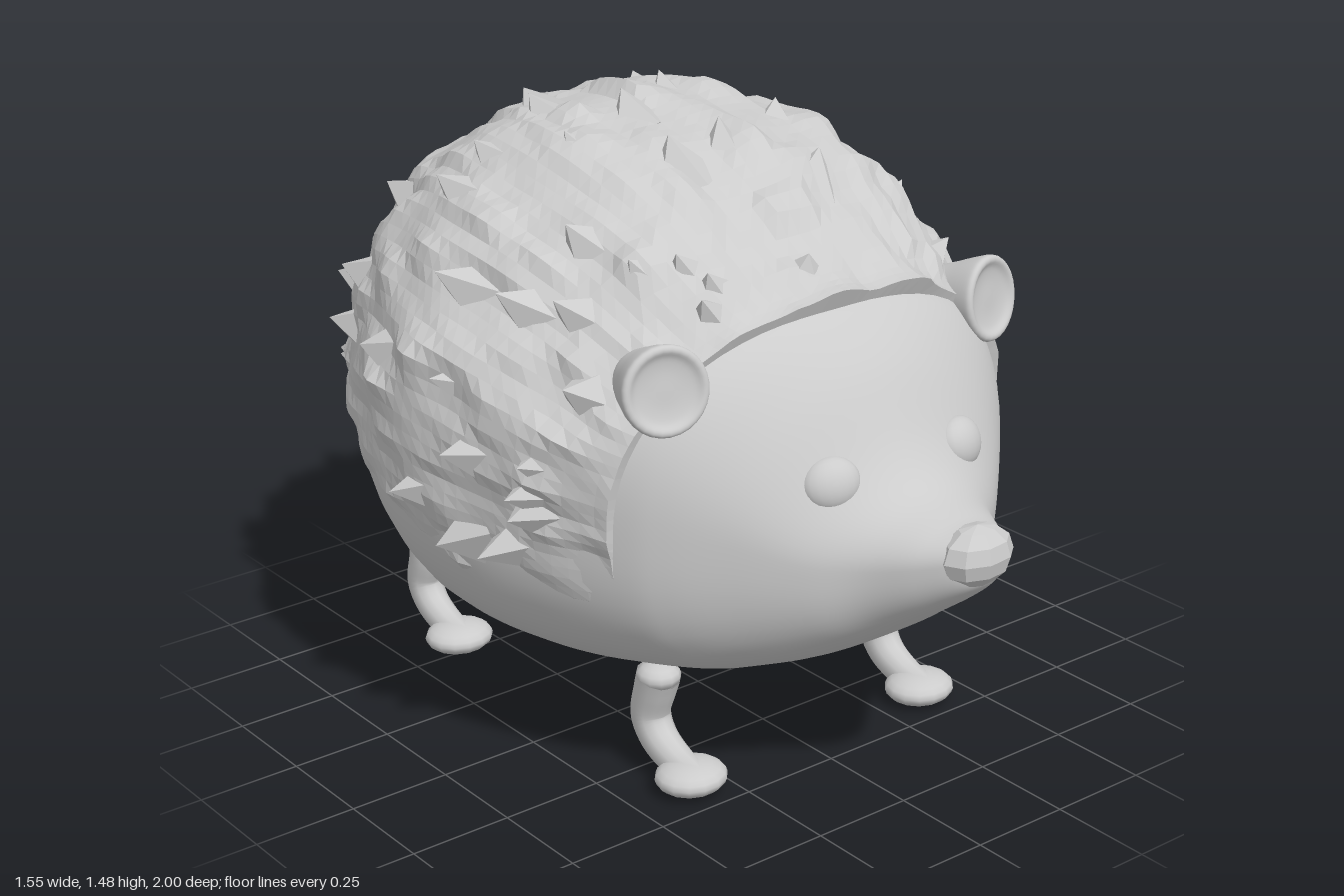
import * as THREE from 'three';
import { mergeGeometries } from 'three/addons/utils/BufferGeometryUtils.js';

const smooth = new THREE.MeshStandardMaterial({ color: 0xcccccc, side: THREE.DoubleSide });
const faceted = new THREE.MeshStandardMaterial({ color: 0xcccccc, side: THREE.DoubleSide, flatShading: true });

// Body stations from nose to rump: z, bottom, top, half width, height of widest point, roundness of the upper half
const STATIONS = [
  [0.97, 0.64, 0.70, 0.01, 0.68, 2], [0.95, 0.605, 0.735, 0.07, 0.68, 2], [0.88, 0.545, 0.745, 0.13, 0.66, 2],
  [0.78, 0.47, 0.78, 0.20, 0.64, 1.9], [0.70, 0.41, 0.855, 0.29, 0.65, 1.8], [0.60, 0.345, 1.01, 0.40, 0.69, 2],
  [0.50, 0.30, 1.105, 0.50, 0.70, 2.4], [0.41, 0.27, 1.15, 0.56, 0.70, 2.5], [0.20, 0.225, 1.30, 0.65, 0.72, 2.3],
  [0, 0.205, 1.39, 0.71, 0.75, 2.1], [-0.2, 0.205, 1.42, 0.72, 0.77, 2.1], [-0.4, 0.235, 1.41, 0.67, 0.77, 2.1],
  [-0.6, 0.28, 1.33, 0.58, 0.77, 2.1], [-0.75, 0.33, 1.21, 0.47, 0.77, 2.1], [-0.88, 0.42, 1.06, 0.34, 0.76, 2.1],
  [-0.955, 0.54, 0.95, 0.2, 0.75, 2.1], [-0.98, 0.72, 0.76, 0.01, 0.74, 2],
];
const LAST = STATIONS.length - 1;
const spline = (f) => new THREE.CatmullRomCurve3(STATIONS.map(f), false, 'catmullrom', 0.5);
const heights = spline((s) => new THREE.Vector3(s[0], s[1], s[2]));
const widths = spline((s) => new THREE.Vector3(s[3], s[4], s[5]));

// Point on the body at station s (0..LAST) and angle a around the section; the face sits slightly to one side
function bodyPoint(s, a) {
  const h = heights.getPoint(s / LAST), w = widths.getPoint(s / LAST);
  const c = Math.cos(a), k = Math.sin(a);
  const n = k < 0 ? 2.8 : w.z;
  const r = Math.pow(Math.abs(c) ** n + Math.abs(k) ** n, -1 / n);
  const half = k < 0 ? w.y - h.y : h.z - w.y;
  return new THREE.Vector3(w.x * c * r + 0.015 * THREE.MathUtils.smoothstep(h.x, 0.3, 0.7), w.y + half * k * r, h.x);
}

const outward = (p) => p.clone().sub(new THREE.Vector3(0, 0.75, -0.15)).normalize();
const hash = (a, b = 0, c = 0) => {
  const v = Math.sin(a * 127.1 + b * 311.7 + c * 74.7) * 43758.5453;
  return v - Math.floor(v);
};

// Smooth value noise, 0..1
function noise(x, y, z) {
  const [i, j, k] = [x, y, z].map(Math.floor);
  const [u, v, w] = [x - i, y - j, z - k].map((t) => t * t * (3 - 2 * t));
  let sum = 0;
  for (let n = 0; n < 8; n++) {
    const a = n & 1, b = (n >> 1) & 1, c = n >> 2;
    sum += hash(i + a, j + b, k + c) * (a ? u : 1 - u) * (b ? v : 1 - v) * (c ? w : 1 - w);
  }
  return sum;
}

// Skin a grid of points, optionally closed around each row
function loft(rows, cols, closed, point) {
  const pos = [], index = [], stride = closed ? cols : cols + 1;
  for (let i = 0; i <= rows; i++) for (let j = 0; j < stride; j++) pos.push(...point(i, j).toArray());
  for (let i = 0; i < rows; i++) for (let j = 0; j < cols; j++) {
    const a = i * stride + j, b = i * stride + ((j + 1) % stride);
    index.push(a, a + stride, b, b, a + stride, b + stride);
  }
  const g = new THREE.BufferGeometry();
  g.setAttribute('position', new THREE.Float32BufferAttribute(pos, 3));
  g.setIndex(index);
  g.computeVertexNormals();
  return g;
}

function add(parent, name, geometry, material = smooth) {
  const m = new THREE.Mesh(geometry, material);
  m.name = name;
  parent.add(m);
  return m;
}

// Station where the coat begins: further forward on the crown than on the cheeks
const coatStart = (a) => 7 - 0.8 * Math.max(0, Math.sin(a)) ** 2;

// Ragged coat: clumps stretched along the back, sinking into the belly at its lower edge
function coatGeometry() {
  const rows = 56, cols = 84, low = -0.66;
  return loft(rows, cols, false, (i, j) => {
    const t = i === 0 ? 0 : (i - 0.7) / (rows - 0.7);
    const a = low + (Math.PI - 2 * low) * (j / cols);
    const start = coatStart(a);
    const p = bodyPoint(start + (LAST - start) * t, a);
    const clump = noise(p.x * 9 + 20, p.y * 9, p.z * 3.5 + 20);
    const lock = noise(p.x * 19 + 50, p.y * 19, p.z * 8 + 50);
    const edge = Math.min(1, Math.min(j, cols - j) / 12);
    const lip = 0.05 * Math.max(0, Math.sin(a)) ** 3 * Math.exp(-t * 9);
    const bump = 0.05 * clump ** 1.5 + 0.045 * lock ** 2;
    const d = i === 0 ? -0.03 : -0.025 + edge * (0.02 + lip) + (0.2 + 0.8 * edge) * bump;
    const dir = outward(p);
    dir.z *= 0.3;
    return p.addScaledVector(dir, d);
  });
}

// Broad blunt tufts sweeping backwards
function tuftGeometry() {
  const parts = [];
  for (let i = 0; i < 70; i++) {
    const a = -0.3 + (Math.PI + 0.6) * ((i * 0.618) % 1);
    const p = bodyPoint(coatStart(a) + 0.5 + 7 * hash(i, 1), a);
    const n = outward(p);
    const dir = n.clone().add(new THREE.Vector3(0, 0, -0.55)).normalize();
    const g = new THREE.ConeGeometry(0.075 + 0.03 * hash(i, 4), 0.11 + 0.03 * hash(i, 2), 5);
    g.applyQuaternion(new THREE.Quaternion().setFromUnitVectors(new THREE.Vector3(0, 1, 0), dir));
    p.addScaledVector(n, 0.008);
    parts.push(g.translate(p.x, p.y, Math.max(p.z, -0.88)));
  }
  return mergeGeometries(parts);
}

// Leg with bent ankle and a flattened paw reaching forward
function makeLeg(name, x, z, top) {
  const leg = new THREE.Group();
  leg.name = name;
  const path = new THREE.CatmullRomCurve3([[top, 0.01], [0.22, 0], [0.14, -0.02], [0.09, 0.01], [0.055, 0.08], [0.04, 0.15]]
    .map(([y, dz]) => new THREE.Vector3(0, y, dz)));
  const shin = new THREE.TubeGeometry(path, 24, 0.053, 12);
  // thin the tube towards the toes
  const pos = shin.attributes.position, v = new THREE.Vector3();
  for (let i = 0; i < pos.count; i++) {
    const t = Math.floor(i / 13) / 24, c = path.getPointAt(t);
    v.fromBufferAttribute(pos, i).sub(c).multiplyScalar(1 - 0.3 * t).add(c);
    pos.setXYZ(i, v.x, v.y, v.z);
  }
  shin.computeVertexNormals();
  add(leg, 'shin', shin);
  const hip = add(leg, 'hip', new THREE.SphereGeometry(0.053, 12, 8));
  hip.scale.y = 0.6;
  hip.position.set(0, top, 0.01);
  const paw = add(leg, 'paw', new THREE.SphereGeometry(1, 14, 10));
  paw.scale.set(0.088, 0.038, 0.08);
  paw.position.set(0, 0.04, 0.13);
  leg.position.set(x, 0, z);
  return leg;
}

export function createModel() {
  const model = new THREE.Group();
  model.name = 'hedgehog';

  add(model, 'body', loft(96, 64, true, (i, j) => bodyPoint((i / 96) * LAST, (j / 64) * Math.PI * 2)));
  add(model, 'quillCoat', coatGeometry(), faceted);
  add(model, 'quillTufts', tuftGeometry(), faceted);

  // Nose
  const nose = add(model, 'nose', new THREE.SphereGeometry(1, 9, 6), faceted);
  nose.scale.set(0.095, 0.07, 0.065);
  nose.position.set(0.015, 0.682, 0.935);

  // Rounded ear, almost filled, opening forward
  const cup = new THREE.LatheGeometry(new THREE.SplineCurve([[0, -0.13], [0.06, -0.11], [0.085, -0.03], [0.1, 0.03],
    [0.1, 0.05], [0.088, 0.055], [0.07, 0.045], [0.04, 0.04], [0, 0.04]].map(([r, y]) => new THREE.Vector2(r, y))).getPoints(32), 28);
  cup.rotateX(Math.PI / 2);

  for (const side of [1, -1]) {
    const label = side > 0 ? 'left' : 'right';
    const eye = add(model, label + 'Eye', new THREE.SphereGeometry(1, 20, 14));
    eye.scale.set(0.07, 0.06, 0.042);
    eye.position.set(0.018 + side * 0.19, 0.808, 0.672);
    eye.rotation.set(-0.35, side * 0.3, 0);

    const ear = add(model, label + 'Ear', cup);
    ear.position.set(0.01 + side * 0.465, 1.025, 0.43);
    ear.rotation.set(-0.15, side * 0.25, 0);

    model.add(makeLeg(label + 'FrontLeg', 0.007 + side * 0.355, 0.28, 0.25));
    model.add(makeLeg(label + 'BackLeg', 0.025 + side * 0.385, -0.65, 0.355));
  }
  return model;
}
